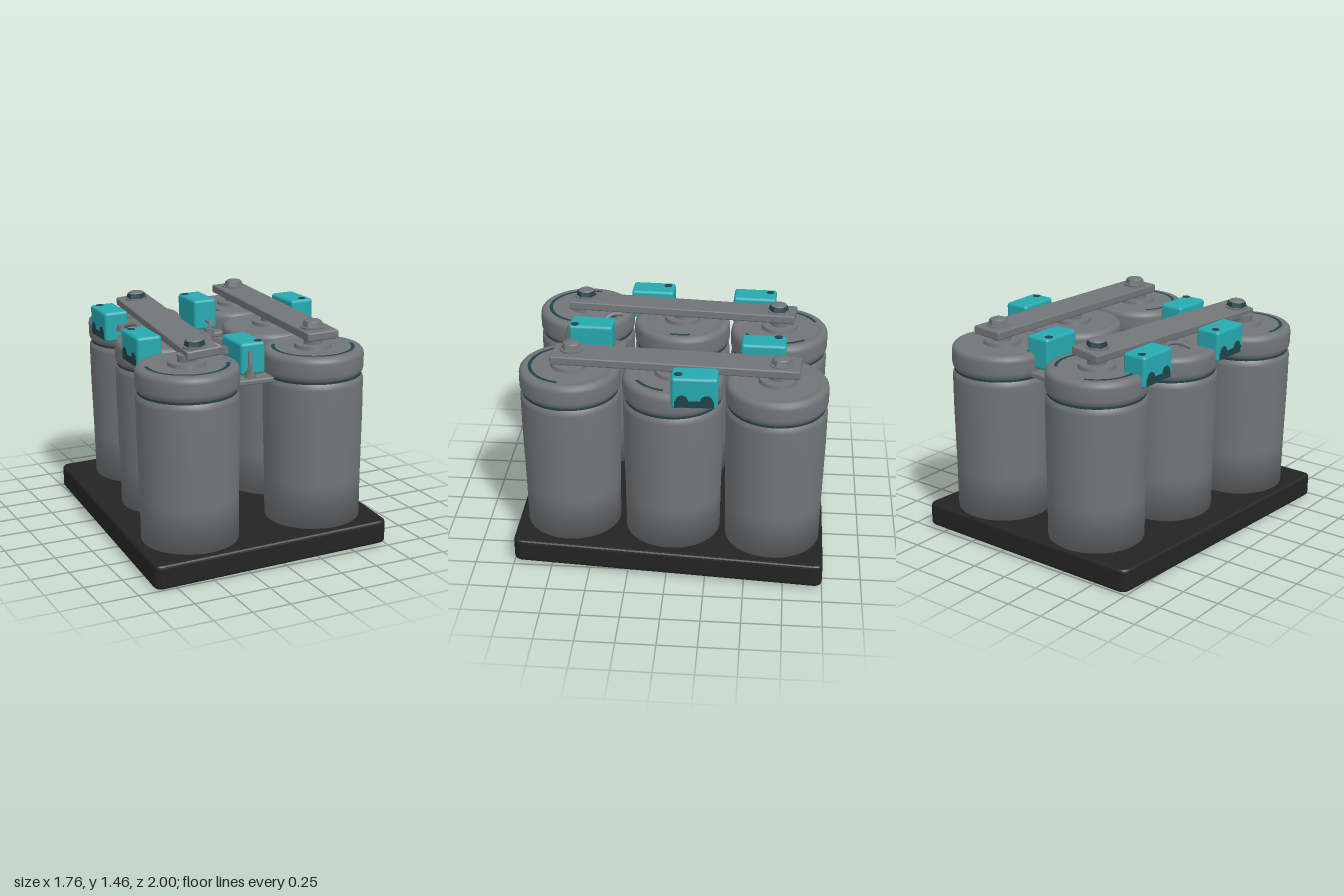
import * as THREE from 'three';
import { RoundedBoxGeometry } from 'three/addons/geometries/RoundedBoxGeometry.js';

const TILT = 0.0135; // the whole pack leans slightly to one side

const mat = (name, color, side = THREE.FrontSide) => {
  const m = new THREE.MeshStandardMaterial({ color, side });
  m.name = name;
  return m;
};

export function createModel() {
  const metal = mat('grey metal', 0x727578);
  const black = mat('black base', 0x242424);
  const teal = mat('teal plastic', 0x26a9b0);
  const dark = mat('dark teal', 0x22424a, THREE.DoubleSide);
  const model = new THREE.Group();
  model.name = 'batteryPack';

  const add = (parent, name, geo, material, x = 0, y = 0, z = 0) => {
    const m = new THREE.Mesh(geo, material);
    m.name = name;
    m.position.set(x, y, z);
    parent.add(m);
    return m;
  };
  const group = (name, x, y, z) => {
    const g = new THREE.Group();
    g.name = name;
    g.position.set(x, y, z);
    model.add(g);
    return g;
  };
  // lathe whose profile segments stay crisp
  const lathe = (pts) => new THREE.LatheGeometry(pts.map(([r, y]) => new THREE.Vector2(r, y)), 48);

  // Base: slab with rounded corners, skewed along its length
  const s = new THREE.Shape();
  const c = 0.06;
  const corners = [[-0.885, -1], [0.74, -1], [0.885, 1], [-0.74, 1]].map(p => new THREE.Vector2(...p));
  corners.forEach((p, i) => {
    const prev = corners[(i + 3) % 4], next = corners[(i + 1) % 4];
    const a = p.clone().add(prev.clone().sub(p).setLength(c));
    const b = p.clone().add(next.clone().sub(p).setLength(c));
    if (i === 0) s.moveTo(a.x, a.y); else s.lineTo(a.x, a.y);
    s.quadraticCurveTo(p.x, p.y, b.x, b.y);
  });
  s.closePath();
  const baseGeo = new THREE.ExtrudeGeometry(s, {
    depth: 0.115, bevelThickness: 0.02, bevelSize: 0.02, bevelOffset: -0.02, bevelSegments: 3, curveSegments: 6,
  });
  baseGeo.rotateX(-Math.PI / 2);
  add(model, 'base', baseGeo, black, 0, 0.032, 0).rotation.z = TILT;

  // Cells: [x, z, arcs of the dark groove on the lid as start and length in degrees]
  const cells = [
    [-0.28, -0.67, [[-60, 100], [110, 85]]],
    [-0.355, -0.02, [[-15, 30]]],
    [-0.5, 0.64, [[165, 175], [20, 35]]],
    [0.485, -0.67, [[170, 50]]],
    [0.425, -0.02, [[-60, 50]]],
    [0.375, 0.64, [[140, 210]]],
  ];
  const bodyGeo = lathe([[0, 0], [0.306, 0], [0.309, 0.3], [0.317, 0.7], [0.318, 0.925], [0.316, 0.945], [0.304, 0.965]]);
  const grooveGeo = lathe([[0.305, 0.96], [0.305, 0.982]]);
  const capGeo = lathe([[0.304, 0.977], [0.316, 0.995], [0.32, 1.015], [0.32, 1.09], [0.316, 1.112],
    [0.303, 1.127], [0.285, 1.131], [0.262, 1.129], [0.25, 1.122], [0.238, 1.128], [0, 1.13]]);
  const washerGeo = new THREE.CylinderGeometry(0.115, 0.12, 0.025, 32);
  const studGeo = new THREE.CylinderGeometry(0.06, 0.06, 0.05, 24);
  cells.forEach(([x, z, arcs]) => {
    const g = group('cell', x + 0.008, 0.15 + TILT * x, z);
    g.rotation.z = TILT;
    add(g, 'cellBody', bodyGeo, metal);
    add(g, 'cellGroove', grooveGeo, dark);
    add(g, 'cellCap', capGeo, metal);
    add(g, 'terminalWasher', washerGeo, metal, 0, 1.14, 0);
    add(g, 'terminalStud', studGeo, metal, 0, 1.17, 0);
    arcs.forEach(([start, len]) => {
      const ring = new THREE.RingGeometry(0.24, 0.262, 32, 1, start * Math.PI / 180, len * Math.PI / 180);
      ring.rotateX(-Math.PI / 2);
      add(g, 'lidGroove', ring, dark, 0, 1.132, 0);
    });
  });

  // Bus bars joining the terminals, each between a back and a front end
  const busBar = (back, front, thickness, roll) => {
    const a = new THREE.Vector3(...back), b = new THREE.Vector3(...front);
    const mid = a.clone().add(b).multiplyScalar(0.5);
    const bar = group('busBar', mid.x, mid.y, mid.z);
    bar.lookAt(b);
    const m = add(bar, 'barPlate', new RoundedBoxGeometry(0.215, thickness, a.distanceTo(b), 2, 0.01), metal);
    m.rotation.z = roll;
  };
  busBar([-0.27, 1.372, -0.775], [-0.435, 1.35, 0.73], 0.055, 0.1);
  busBar([0.485, 1.378, -0.81], [0.385, 1.37, 0.74], 0.055, 0.03);

  // Bolts: hexagon head with a low dome
  const hexGeo = new THREE.CylinderGeometry(0.058, 0.068, 0.035, 6).toNonIndexed();
  hexGeo.computeVertexNormals();
  const domeGeo = new THREE.SphereGeometry(0.054, 20, 6, 0, Math.PI * 2, 0, Math.PI / 2);
  domeGeo.scale(1, 0.28, 1);
  [[-0.28, 1.42, -0.66, dark], [-0.455, 1.4, 0.64, dark],
    [0.485, 1.425, -0.69, metal], [0.375, 1.425, 0.62, metal]].forEach(([x, y, z, m]) => {
    const g = group('bolt', x, y, z);
    g.rotation.z = m === dark ? 0.06 : 0.03;
    add(g, 'boltHead', hexGeo, m);
    add(g, 'boltDome', domeGeo, metal, 0, 0.017, 0);
    add(g, 'boltCollar', new THREE.CylinderGeometry(0.075, 0.075, 0.012, 24), metal, 0, -0.02, 0);
  });

  // Connector blocks: [x, y, z, height, yaw, dark port side, dot x, dot z]
  const dotGeo = new THREE.CylinderGeometry(0.026, 0.026, 0.004, 12);
  const port = new THREE.Shape();
  port.moveTo(-0.12, 0);
  port.lineTo(0.12, 0);
  port.lineTo(0.12, 0.045);
  port.absarc(0.075, 0.045, 0.038, 0, Math.PI, false);
  port.lineTo(-0.037, 0.045);
  port.absarc(-0.075, 0.045, 0.038, 0, Math.PI, false);
  port.lineTo(-0.12, 0.045);
  const portGeo = new THREE.ShapeGeometry(port, 8);
  [
    [-0.545, 1.29, -0.5, 0.2, -0.03, -1, -0.03, -0.1],
    [-0.612, 1.285, 0.195, 0.2, -0.03, -1, -0.03, -0.095],
    [0.67, 1.317, -0.17, 0.205, 0.02, 1, 0.02, 0.1],
    [0.142, 1.285, -0.575, 0.21, -0.02, 0, -0.05, -0.09],
    [-0.08, 1.268, 0.553, 0.205, -0.02, 0, 0.05, 0.105],
  ].forEach(([x, y, z, h, yaw, side, dx, dz]) => {
    const g = group('connectorBlock', x, y, z);
    g.rotation.set(0, yaw, TILT);
    add(g, 'blockHousing', new RoundedBoxGeometry(0.165, h, 0.285, 3, 0.02), teal);
    add(g, 'blockDot', dotGeo, dark, dx, h / 2, dz);
    if (side) add(g, 'blockPort', portGeo, dark, side * 0.0845, -h / 2 + 0.012, 0).rotation.y = side * Math.PI / 2;
  });

  // Bracket plates carrying the two inner blocks
  [[0.155, 1.15, -0.565, 0.3, 0.38], [-0.11, 1.135, 0.55, 0.31, 0.39]].forEach(([x, y, z, w, d]) => {
    const p = add(model, 'bracketPlate', new RoundedBoxGeometry(w, 0.035, d, 2, 0.01), metal, x, y, z);
    p.rotation.set(0, -0.06, TILT);
  });

  // Small nuts beside the blocks
  [[0.145, 1.18, -0.39], [-0.53, 1.29, -0.32], [-0.18, 1.29, 0.49], [-0.115, 1.18, 0.715]].forEach(([x, y, z]) => {
    add(model, 'smallNut', new THREE.CylinderGeometry(0.032, 0.036, 0.04, 6), metal, x, y, z);
  });

  // Wires
  [
    [[-0.3, 1.325, 0.38], [-0.26, 1.335, 0.45], [-0.21, 1.31, 0.49], [-0.17, 1.27, 0.49]],
    [[-0.53, 1.29, -0.32], [-0.5, 1.32, -0.26], [-0.48, 1.335, -0.18], [-0.51, 1.32, -0.1], [-0.55, 1.29, -0.05]],
    [[-0.135, 1.17, 0.72], [-0.125, 1.23, 0.73], [-0.11, 1.32, 0.705]],
    [[0.145, 1.19, -0.39], [0.16, 1.23, -0.4], [0.145, 1.25, -0.44]],
  ].forEach((pts) => {
    const curve = new THREE.CatmullRomCurve3(pts.map(p => new THREE.Vector3(...p)));
    add(model, 'wire', new THREE.TubeGeometry(curve, 20, 0.014, 8), metal);
  });

  return model;
}
